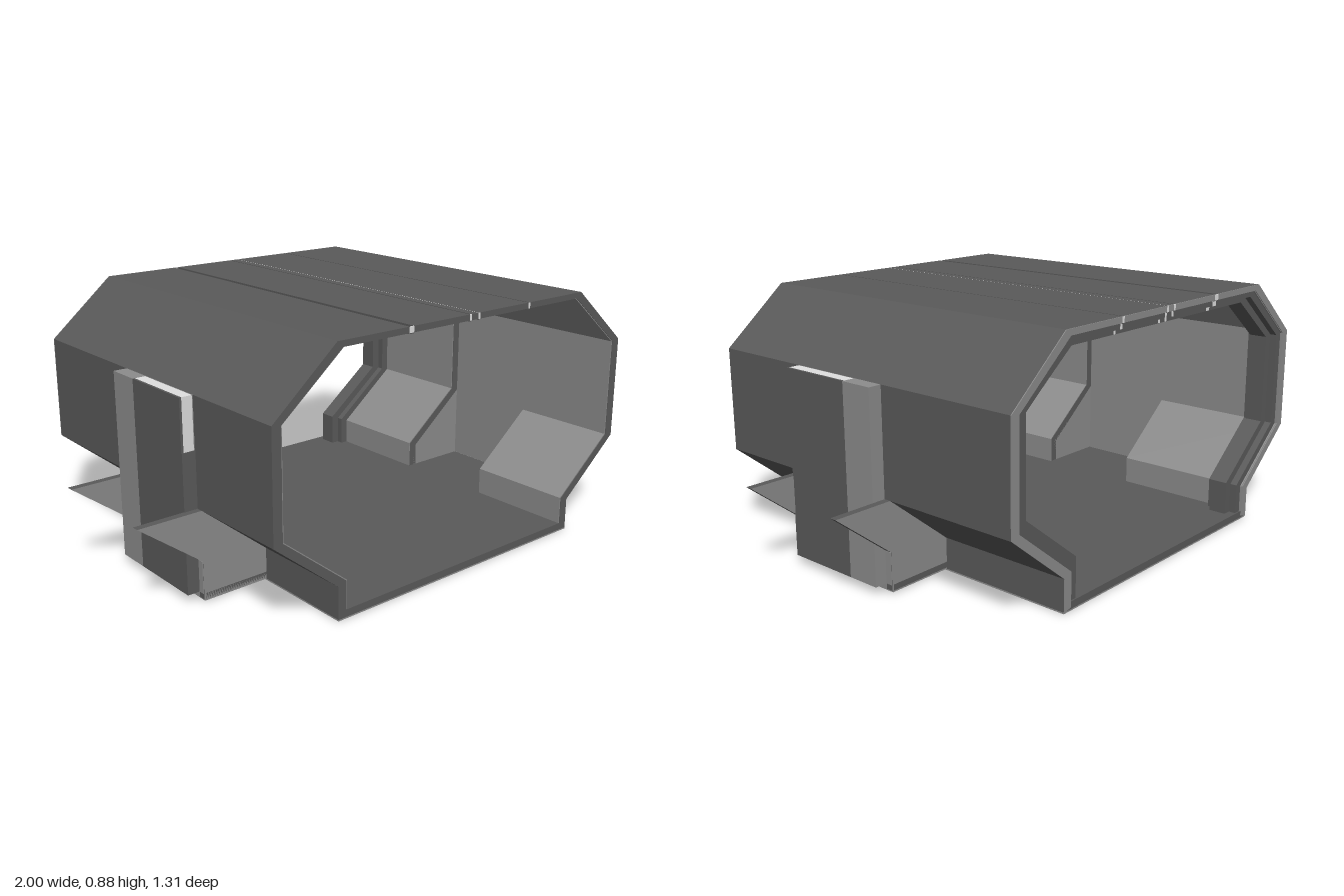
import * as THREE from 'three';

const material = (name, color) => {
  const m = new THREE.MeshStandardMaterial({ color });
  m.name = name;
  return m;
};

// Half section of the hull, from roof edge down to floor: outer skin and innermost rib
const OUTER = [[0.545, 0.875], [0.78, 0.675], [0.78, 0.31], [0.54, 0.115], [0.54, 0.005]];
const INNER = [[0.48, 0.815], [0.68, 0.66], [0.68, 0.335], [0.445, 0.15], [0.445, 0.03]];
const section = (t) => OUTER.map(([x, y], i) => [x + (INNER[i][0] - x) * t, y + (INNER[i][1] - y) * t]);

export function createModel() {
  const model = new THREE.Group();
  model.name = 'corridorModule';
  const body = new THREE.Group();
  body.name = 'body';
  body.position.x = 0.005;
  model.add(body);

  const shell = material('dark grey shell', 0x5a5a5a);
  const trim = material('mid grey trim', 0x8c8c8c);
  const light = material('light grey core', 0xe0e0e0);

  const add = (name, geometry, mat) => {
    const mesh = new THREE.Mesh(geometry, mat);
    mesh.name = name;
    body.add(mesh);
    return mesh;
  };
  // Box given by its limits
  const box = (name, mat, x0, x1, y0, y1, z0, z1) => {
    const g = new THREE.BoxGeometry(Math.abs(x1 - x0), y1 - y0, z1 - z0);
    g.translate((x0 + x1) / 2, (y0 + y1) / 2, (z0 + z1) / 2);
    return add(name, g, mat);
  };
  // Flat outline in x and y, extruded from z0 to z1
  const slab = (name, mat, points, z0, z1) => {
    const shape = new THREE.Shape(points.map(([x, y]) => new THREE.Vector2(x, y)));
    const g = new THREE.ExtrudeGeometry(shape, { depth: z1 - z0, bevelEnabled: false });
    g.translate(0, 0, z0);
    return add(name, g, mat);
  };
  const flip = (points, s) => points.map(([x, y]) => [x * s, y]);
  // Band between two half sections
  const band = (outer, inner, s) => flip([...outer, ...[...inner].reverse()], s);
  // Full arch between two section depths
  const arch = (name, mat, t0, t1, z0, z1) => {
    const outer = section(t0), inner = section(t1);
    slab(name, mat, [
      ...flip([...outer].reverse(), -1), ...outer,
      ...[...inner].reverse(), ...flip(inner, -1),
    ], z0, z1);
  };

  // Floor with a paler underside
  box('floor', shell, -0.54, 0.54, 0.005, 0.03, -0.65, 0.65);
  box('underside', trim, -0.54, 0.54, 0, 0.005, -0.65, 0.65);

  // Roof panels divided by narrow seams with light strips deep inside
  const seams = [[-0.266, -0.248], [-0.007, -0.002], [0.031, 0.035], [0.27, 0.275]];
  let start = -0.545;
  for (const [a, b] of [...seams, [0.545, 0.545]]) {
    box('roofPanel', shell, start, a, 0.855, 0.875, -0.65, 0.65);
    start = b;
    if (b > a) {
      const top = a > 0 && a < 0.1 ? 0.8745 : 0.859;
      box('seamStrip', light, a, b, 0.856, top, -0.65, 0.65);
      box('seamBacking', shell, a, b, 0.852, 0.856, -0.65, 0.65);
      // Light ends of the seams on the front, the rear and the ribs
      const w = Math.max(b - a, 0.008);
      box('seamEnd', light, a, a + w, 0.855, 0.875, 0.648, 0.651);
      box('seamEnd', light, a, a + w, 0.855, 0.875, -0.655, -0.65);
      box('ribSeam', light, a, a + w, 0.835, 0.855, -0.647, -0.528);
      box('ribSeam', light, a, a + w, 0.816, 0.835, -0.622, -0.553);
    }
  }

  // Side walls, left open in the middle for the doorway
  const skin = section(1 / 3), lining = section(0.37);
  for (const s of [1, -1]) {
    for (const [z0, z1] of [[0.26, 0.65], [-0.65, -0.13]]) {
      slab('sideWall', shell, band(OUTER, skin, s), z0, z1);
      slab('wallLining', trim, band(skin, lining, s), z0, z1 - 0.002);
    }
    slab('doorHeader', shell, band(OUTER.slice(0, 2), skin.slice(0, 2), s), -0.13, 0.26);
    slab('headerLining', trim, band(skin.slice(0, 2), lining.slice(0, 2), s), -0.13, 0.26);

    // Threshold with a trimmed outer edge and underside
    box('threshold', shell, 0.54 * s, 0.776 * s, 0.01, 0.03, -0.155, 0.285);
    box('thresholdEdge', trim, 0.776 * s, 0.78 * s, 0.01, 0.03, -0.155, 0.285);
    box('thresholdUnderside', trim, 0.54 * s, 0.78 * s, 0.005, 0.01, -0.155, 0.285);

    // Winged alcove plates on both sides of the door
    const wing = flip([[0.53, 0.01], [0.53, 0.115], [0.77, 0.31], [1 - 0.005 * s, 0.31],
      [0.782, 0.14], [0.782, 0.01]], s);
    slab('alcovePlate', [trim, shell], wing, 0.26, 0.285);
    slab('alcovePlate', [trim, shell], wing, -0.155, -0.13);
    for (const z of [0.261, -0.154]) {
      box('alcovePlateEdge', trim, 0.782 * s, 0.785 * s, 0.03, 0.14, z, z + 0.023);
    }

    // Sliding door: light core, dark outer face, pale inner face and a post behind it
    box('doorCore', light, 0.783 * s, 0.82 * s, 0.03, 0.675, -0.01, 0.26);
    box('doorOuterFace', shell, 0.82 * s, 0.828 * s, 0.03, 0.675, -0.01, 0.26);
    box('doorInnerFace', trim, 0.777 * s, 0.783 * s, 0.03, 0.675, -0.01, 0.26);
    box('doorFrontEdge', shell, 0.777 * s, 0.828 * s, 0.03, s > 0 ? 0.674 : 0.5, 0.26, 0.263);
    box('doorPost', trim, 0.777 * s, 0.828 * s, 0.03, 0.675, -0.13, -0.01);
  }

  // Pale rear rim and the stepped rib just inside it
  arch('rearRim', trim, 0, 1 / 3, -0.653, -0.65);
  arch('rearRib', shell, 1 / 3, 2 / 3, -0.645, -0.53);
  arch('rearRib', shell, 2 / 3, 1, -0.62, -0.555);

  return model;
}
